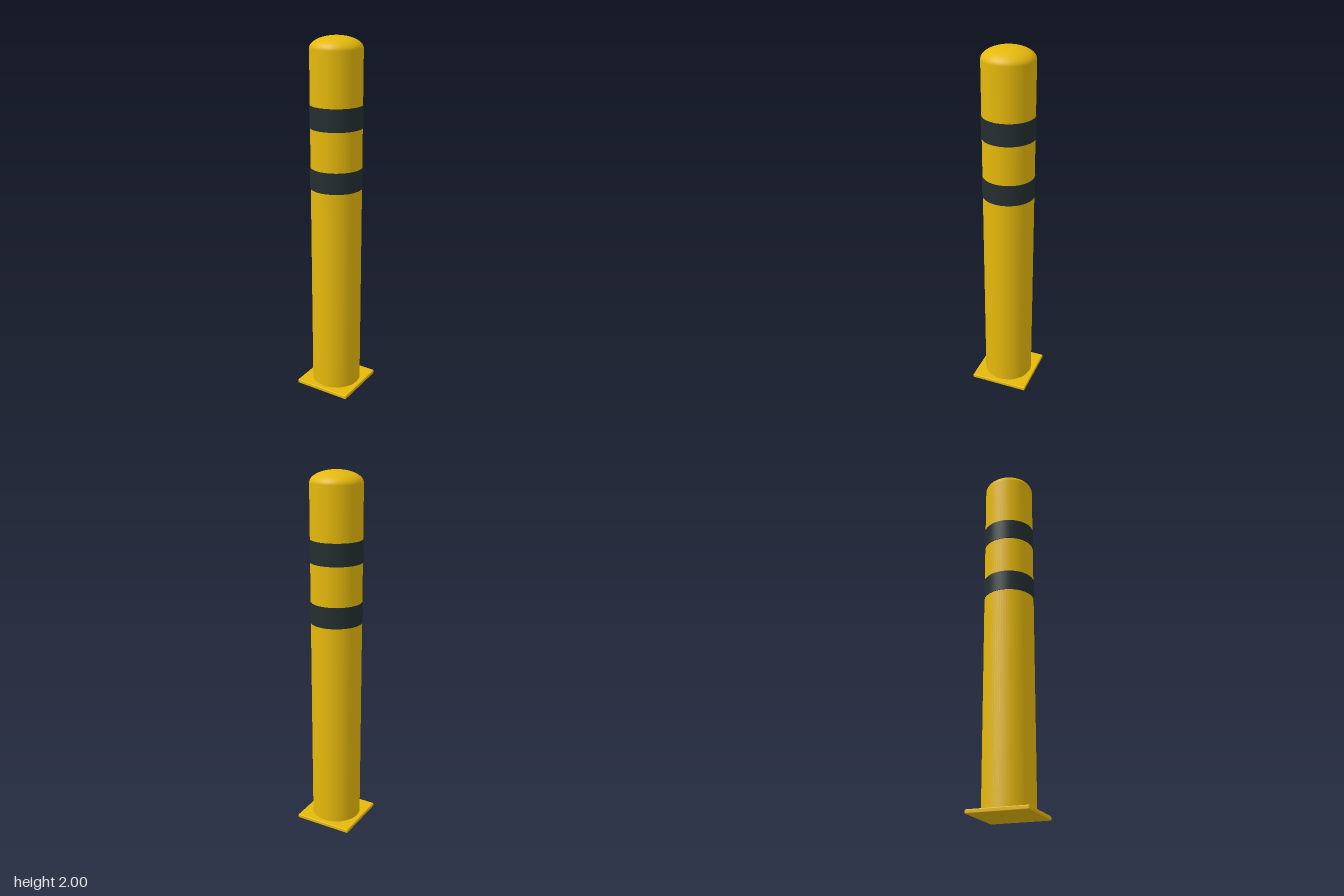
import * as THREE from 'three';
import { RoundedBoxGeometry } from 'three/addons/geometries/RoundedBoxGeometry.js';

export function createModel() {
  const model = new THREE.Group();
  model.name = 'bollard';

  const yellow = new THREE.MeshStandardMaterial({ color: 0xe5b80b });
  yellow.name = 'safety yellow';
  const dark = new THREE.MeshStandardMaterial({ color: 0x242e30 });
  dark.name = 'dark band';

  const RADIUS = 0.139, BAND_RADIUS = 0.142;
  const PLATE_TOP = 0.022, DOME_BASE = 1.935, TOP = 2;
  const SEGMENTS = 64;

  const add = (name, geometry, material, y = 0) => {
    const mesh = new THREE.Mesh(geometry, material);
    mesh.name = name;
    mesh.position.y = y;
    model.add(mesh);
  };

  // square base plate with softened edges
  add('basePlate', new RoundedBoxGeometry(0.332, PLATE_TOP, 0.332, 3, 0.005), yellow, PLATE_TOP / 2);

  // round post standing on the plate
  const postHeight = DOME_BASE - PLATE_TOP;
  add('post', new THREE.CylinderGeometry(RADIUS, RADIUS, postHeight, SEGMENTS, 1, true),
    yellow, PLATE_TOP + postHeight / 2);

  // flattened dome cap
  const dome = new THREE.SphereGeometry(RADIUS, SEGMENTS, 16, 0, Math.PI * 2, 0, Math.PI / 2);
  dome.scale(1, (TOP - DOME_BASE) / RADIUS, 1);
  add('domeCap', dome, yellow, DOME_BASE);

  // dark bands wrapped around the post
  for (const [name, bottom, top] of [['lowerBand', 1.2, 1.315], ['upperBand', 1.53, 1.65]]) {
    add(name, new THREE.CylinderGeometry(BAND_RADIUS, BAND_RADIUS, top - bottom, SEGMENTS),
      dark, (bottom + top) / 2);
  }

  return model;
}
